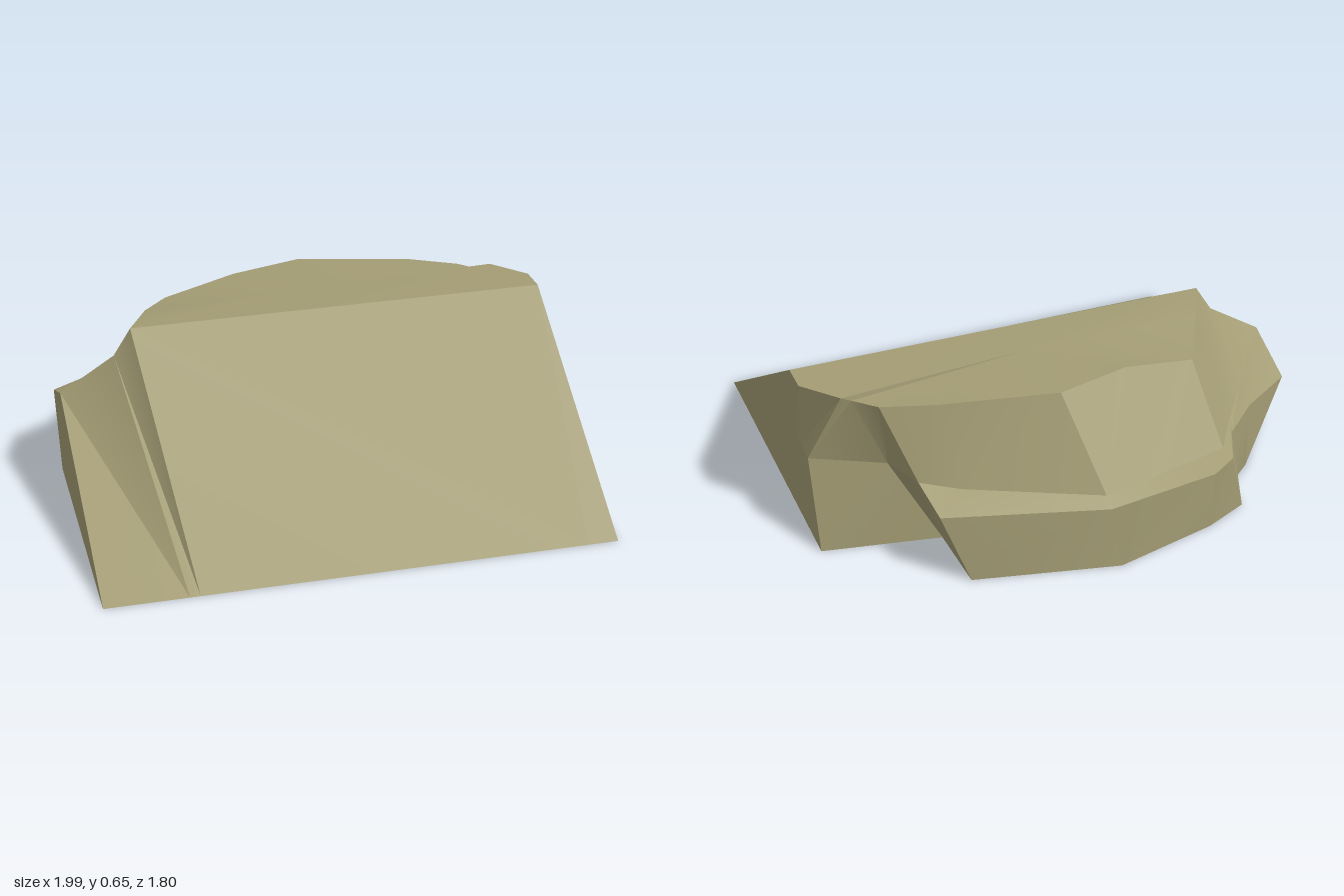
import * as THREE from 'three';
import { toCreasedNormals } from 'three/addons/utils/BufferGeometryUtils.js';

// Cross-section loops, running from the +x side around the back to the -x side.
const base = [[0.99, 0, -0.1], [0.99, 0, -0.19], [0.99, 0, -0.39], [0.53, 0, -0.48], [0.53, 0, -0.49], [0.52, 0, -0.77],
  [-0.04, 0, -0.9], [-0.46, 0, -0.8], [-0.64, 0, -0.72], [-0.64, 0, -0.6], [-0.78, 0, -0.48], [-1, 0, -0.19]];
const ledgeOuter = [[0.99, 0.43, -0.1], [0.99, 0.375, -0.19], [0.99, 0.365, -0.285], [0.72, 0.36, -0.42], [0.65, 0.35, -0.57],
  [0.62, 0.28, -0.72], [0, 0.26, -0.88], [-0.46, 0.26, -0.82], [-0.57, 0.26, -0.75], [-0.64, 0.27, -0.6],
  [-0.78, 0.29, -0.48], [-1, 0.29, -0.34]];
const ledgeInner = [...ledgeOuter.slice(0, 5), [0.5, 0.32, -0.63], [0, 0.29, -0.83], [-0.28, 0.285, -0.765],
  [-0.55, 0.28, -0.7], [-0.66, 0.29, -0.54], [-0.78, 0.31, -0.38], [-1, 0.39, -0.1]];
const rim = [[0.99, 0.65, -0.1], [0.99, 0.65, -0.22], [0.87, 0.65, -0.36], [0.83, 0.63, -0.36], [0.75, 0.63, -0.44],
  [0.55, 0.64, -0.52], [0.1, 0.645, -0.62], [-0.2, 0.64, -0.54], [-0.5, 0.58, -0.5], [-0.62, 0.63, -0.28],
  [-0.71, 0.64, -0.1], [-0.78, 0.53, -0.1]];

// Front foot of the ramp and the crest it climbs to, from +x to -x.
const foot = [0.99, 0.87, -0.64, -0.68, -1].map((x) => [x, 0, 0.9]);
const crest = [ledgeInner[0], rim[0], rim[10], rim[11], ledgeInner[11]];

// Quads between two loops, the lower one first.
function strip(lower, upper) {
  const tris = [];
  for (let i = 0; i < lower.length - 1; i++) {
    tris.push([lower[i], lower[i + 1], upper[i + 1]], [lower[i], upper[i + 1], upper[i]]);
  }
  return tris;
}

// Closed fan around a centre point.
function fan(centre, loop) {
  return loop.map((p, i) => [centre, p, loop[(i + 1) % loop.length]]);
}

// Mesh from triangles, dropping collapsed ones.
function makeMesh(name, tris, material) {
  const kept = tris.filter((t) => {
    const [a, b, c] = t.map((p) => new THREE.Vector3(...p));
    return b.sub(a).cross(c.sub(a)).length() > 1e-6;
  });
  const geometry = new THREE.BufferGeometry();
  geometry.setAttribute('position', new THREE.Float32BufferAttribute(kept.flat(2), 3));
  const mesh = new THREE.Mesh(toCreasedNormals(geometry, Math.PI / 7), material);
  mesh.name = name;
  return mesh;
}

export function createModel() {
  const group = new THREE.Group();
  group.name = 'rockRamp';
  const stone = new THREE.MeshStandardMaterial({ color: 0xa39c74 });
  stone.name = 'olive stone';

  // Sloping front, with a bevel on each side
  const ramp = strip(foot, crest).map(([a, b, c]) => [a, c, b]);
  // Upright side faces
  const sides = [
    [foot[0], base[0], ledgeInner[0]],
    [foot[4], ledgeInner[11], ledgeOuter[11]],
    [foot[4], ledgeOuter[11], base[11]],
  ];
  // Rough back: lower wall, narrow ledge and upper slope
  const lowerWall = strip(base, ledgeOuter);
  const ledge = strip(ledgeOuter, ledgeInner);
  const upperSlope = strip(ledgeInner, rim);
  // Flat top and underside
  const top = fan([0.1, 0.65, -0.3], rim.slice(0, 11));
  const underside = fan([0, 0, 0], [...base, foot[4], foot[0]].reverse());

  const parts = { ramp, sides, lowerWall, ledge, upperSlope, top, underside };
  for (const [name, tris] of Object.entries(parts)) group.add(makeMesh(name, tris, stone));
  return group;
}
